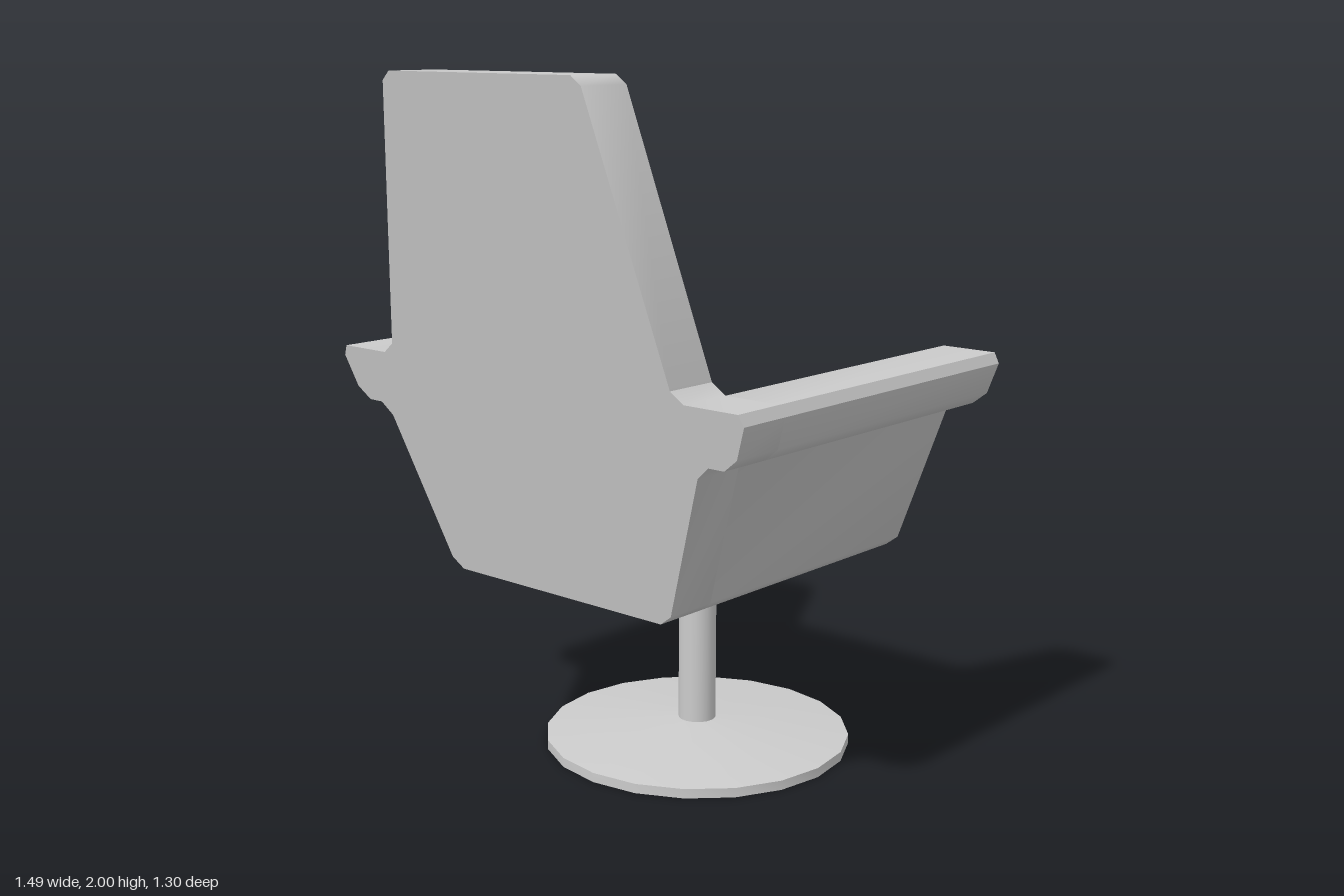
import * as THREE from 'three';
import { toCreasedNormals } from 'three/addons/utils/BufferGeometryUtils.js';

const FRONT = -0.65;                                  // open end of the seat
const backZ = (y) => 0.38 + 0.19 * (y - 0.58);        // leaning rear plane
const PANEL = 0.16;                                   // back panel thickness along z

// Right halves of the outlines, bottom to top
const outer = [[0.38, 0.58], [0.42, 0.61], [0.575, 1.02], [0.615, 1.055], [0.665, 1.055],
  [0.71, 1.09], [0.745, 1.18], [0.73, 1.21]];
const inner = [[0.56, 1.21], [0.52, 1.18], [0.36, 0.755], [0.32, 0.725]];
const upper = [[0.56, 1.21], [0.52, 1.24], [0.36, 1.975], [0.33, 2]];
const pad = [[0.32, 0.755], [0.355, 0.785], [0.505, 1.2], [0.5, 1.24], [0.35, 1.95], [0.325, 1.97]];

// Full counter-clockwise outline from a right half
const mirrored = (half) => [...half, ...half.map(([x, y]) => [-x, y]).reverse()];
const toPoints = (list) => list.map(([x, y]) => new THREE.Vector2(x, y));

// Moves every side of a closed outline inwards by d
function inset(list, d) {
  const n = list.length;
  const normal = (a, b) => new THREE.Vector2(a[1] - b[1], b[0] - a[0]).normalize();
  return list.map((p, i) => {
    const n1 = normal(list[(i + n - 1) % n], p), n2 = normal(p, list[(i + 1) % n]);
    const k = d / (1 + n1.dot(n2));
    return [p[0] + (n1.x + n2.x) * k, p[1] + (n1.y + n2.y) * k];
  });
}

// Extrudes a shape, then replaces z by rule(y, z)
function extrude(name, shape, options, rule) {
  const geo = new THREE.ExtrudeGeometry(shape, { depth: 1, bevelEnabled: false, ...options });
  const pos = geo.attributes.position;
  for (let i = 0; i < pos.count; i++) pos.setZ(i, rule(pos.getY(i), pos.getZ(i)));
  return part(name, toCreasedNormals(geo, 0.7));
}

function part(name, geo) {
  const mesh = new THREE.Mesh(geo, new THREE.MeshStandardMaterial({ color: 0xcccccc }));
  mesh.name = name;
  return mesh;
}

export function createModel() {
  const group = new THREE.Group();
  group.name = 'swivelArmchair';

  // Seat and arms: one bent profile running from the open end to the back panel
  const profile = mirrored([...inner].reverse().concat([...outer].reverse())).reverse();
  const core = inset(profile, 0.032);
  const run = (start) => (y, t) => start + t * (backZ(y) - PANEL - start);
  const shell = new THREE.Shape(toPoints(profile));
  shell.holes.push(new THREE.Path(toPoints(core)));
  group.add(extrude('seatShell', shell, {}, run(FRONT)));
  group.add(extrude('seatCore', new THREE.Shape(toPoints(core)), {}, run(FRONT + 0.035)));

  // Back panel, leaning backwards
  const panel = new THREE.Shape(toPoints(mirrored([...outer, ...upper])));
  group.add(extrude('backPanel', panel, {}, (y, t) => backZ(y) - PANEL * (1 - t)));

  // Bevelled back cushion
  const cushion = new THREE.Shape(toPoints(mirrored(pad)));
  group.add(extrude('backCushion', cushion,
    { depth: 0.06, bevelEnabled: true, bevelSegments: 1, bevelSize: 0.03, bevelThickness: 0.03, bevelOffset: -0.03 },
    (y, z) => backZ(y) - PANEL + z));

  // Pedestal: post and shallow conical foot
  const post = part('post', new THREE.CylinderGeometry(0.056, 0.056, 0.53, 20));
  post.position.set(0.023, 0.325, -0.19);
  group.add(post);

  const footProfile = [[0, 0], [0.457, 0], [0.457, 0.028], [0.056, 0.07], [0, 0.07]];
  const foot = part('foot', toCreasedNormals(new THREE.LatheGeometry(toPoints(footProfile), 20), 0.6));
  foot.position.set(0.023, 0, -0.19);
  group.add(foot);

  return group;
}
